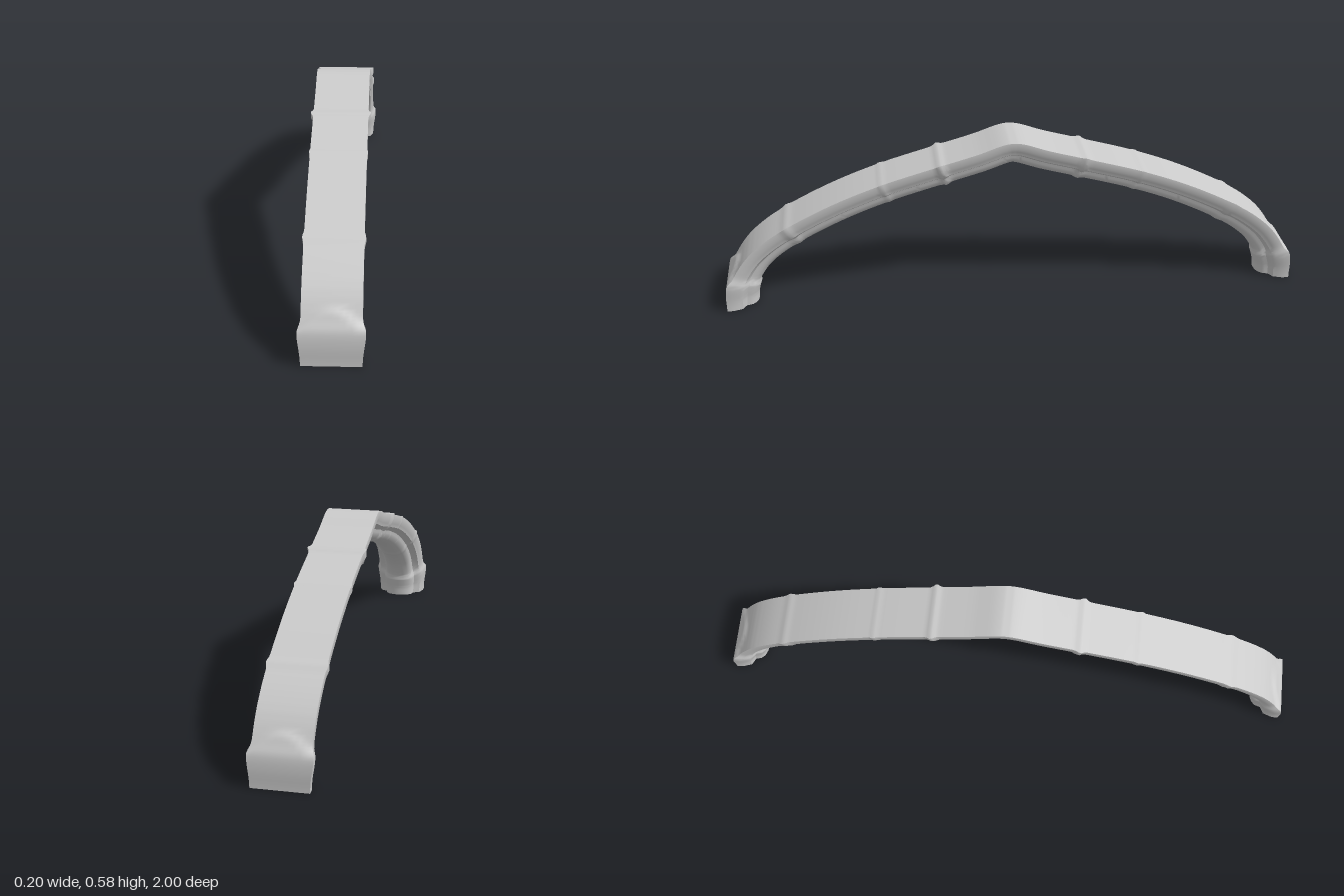
import * as THREE from 'three';
import { toCreasedNormals } from 'three/addons/utils/BufferGeometryUtils.js';

// Outer edge of one half of the arch: [z, y] from foot to crown
const HALF = [[0.992, 0], [0.988, 0.06], [0.972, 0.12], [0.925, 0.195], [0.865, 0.252], [0.78, 0.308],
  [0.62, 0.388], [0.45, 0.453], [0.25, 0.512], [0.12, 0.549], [0.035, 0.578]];

// Moulded underside of the rib: [half width, depth below the outer face]
const MOULDING = [[0.09, 0.022], [0.083, 0.034], [0.079, 0.046], [0.066, 0.052], [0.056, 0.058],
  [0.053, 0.068], [0.05, 0.078], [0.038, 0.09], [0.02, 0.097]];

// Raised joints between the stones: [z, height, spread]
const JOINTS = [[0.25, 0.009, 0.012], [0.45, 0.004, 0.008], [0.78, 0.005, 0.014]];

const bell = (d, s) => Math.exp(-(d * d) / (s * s));

// Closed cross-section, outer face first
function crossSection() {
  const pts = [];
  for (let k = 0; k <= 10; k++) pts.push([-0.09 + 0.018 * k, 0]);
  for (const p of MOULDING) pts.push(p);
  pts.push([0, 0.099]);
  for (const [x, d] of [...MOULDING].reverse()) pts.push([-x, d]);
  return pts;
}

// Swelling of the section at the joints and around the foot
function swell(z, y) {
  let s = 0;
  for (const [jz, h, w] of JOINTS) s += h * bell(Math.abs(z) - jz, w);
  if (Math.abs(z) > 0.85) s += 0.01 * bell(y - 0.1, y < 0.1 ? 0.055 : 0.02);
  return s;
}

// Arched lip on the outer face of each foot block
function footLip(x, z, y) {
  if (Math.abs(z) < 0.85) return 0;
  const edge = 0.11 + 0.05 * (1 - (x / 0.09) ** 2);
  return 0.008 * (1 - THREE.MathUtils.smoothstep(y, edge - 0.012, edge + 0.012));
}

function archGeometry() {
  const mirrored = [...HALF].reverse().map(([z, y]) => [-z, y]);
  const path = new THREE.CatmullRomCurve3(
    [...HALF, [0, 0.583], ...mirrored].map(([z, y]) => new THREE.Vector3(0, y, z)), false, 'centripetal');
  const section = crossSection();
  const n = section.length, steps = 260;
  const pos = [], index = [];

  for (let i = 0; i <= steps; i++) {
    const p = path.getPointAt(i / steps), t = path.getTangentAt(i / steps);
    if (i === 0) t.set(0, 1, 0);
    if (i === steps) t.set(0, -1, 0);
    const out = new THREE.Vector3(0, -t.z, t.y);
    const s = swell(p.z, p.y);
    for (const [x, d] of section) {
      const outer = d < 0.03;
      const lift = outer ? s * 0.6 + footLip(x, p.z, p.y) : 0;
      const depth = d > 0.05 ? d + s * 0.6 : d;
      const q = p.clone().addScaledVector(out, lift - depth);
      pos.push(x * (1 + s / 0.09), Math.max(q.y, 0), q.z);
    }
  }
  for (let i = 0; i < steps; i++) {
    for (let j = 0; j < n; j++) {
      const k = (j + 1) % n;
      const a = i * n + j, b = i * n + k, c = a + n, e = b + n;
      index.push(a, b, e, a, e, c);
    }
  }
  // Flat undersides of the two feet
  for (const [row, sign] of [[0, 1], [steps, -1]]) {
    const centre = pos.length / 3;
    pos.push(0, 0, sign * 0.95);
    for (let j = 0; j < n; j++) {
      const a = row * n + j, b = row * n + (j + 1) % n;
      if (sign > 0) index.push(centre, b, a);
      else index.push(centre, a, b);
    }
  }
  const g = new THREE.BufferGeometry();
  g.setAttribute('position', new THREE.Float32BufferAttribute(pos, 3));
  g.setIndex(index);
  return toCreasedNormals(g, 0.7);
}

export function createModel() {
  const group = new THREE.Group();
  group.name = 'pointedArchRib';
  const rib = new THREE.Mesh(archGeometry(), new THREE.MeshStandardMaterial({ color: 0xcccccc }));
  rib.name = 'mouldedRib';
  group.add(rib);
  return group;
}
